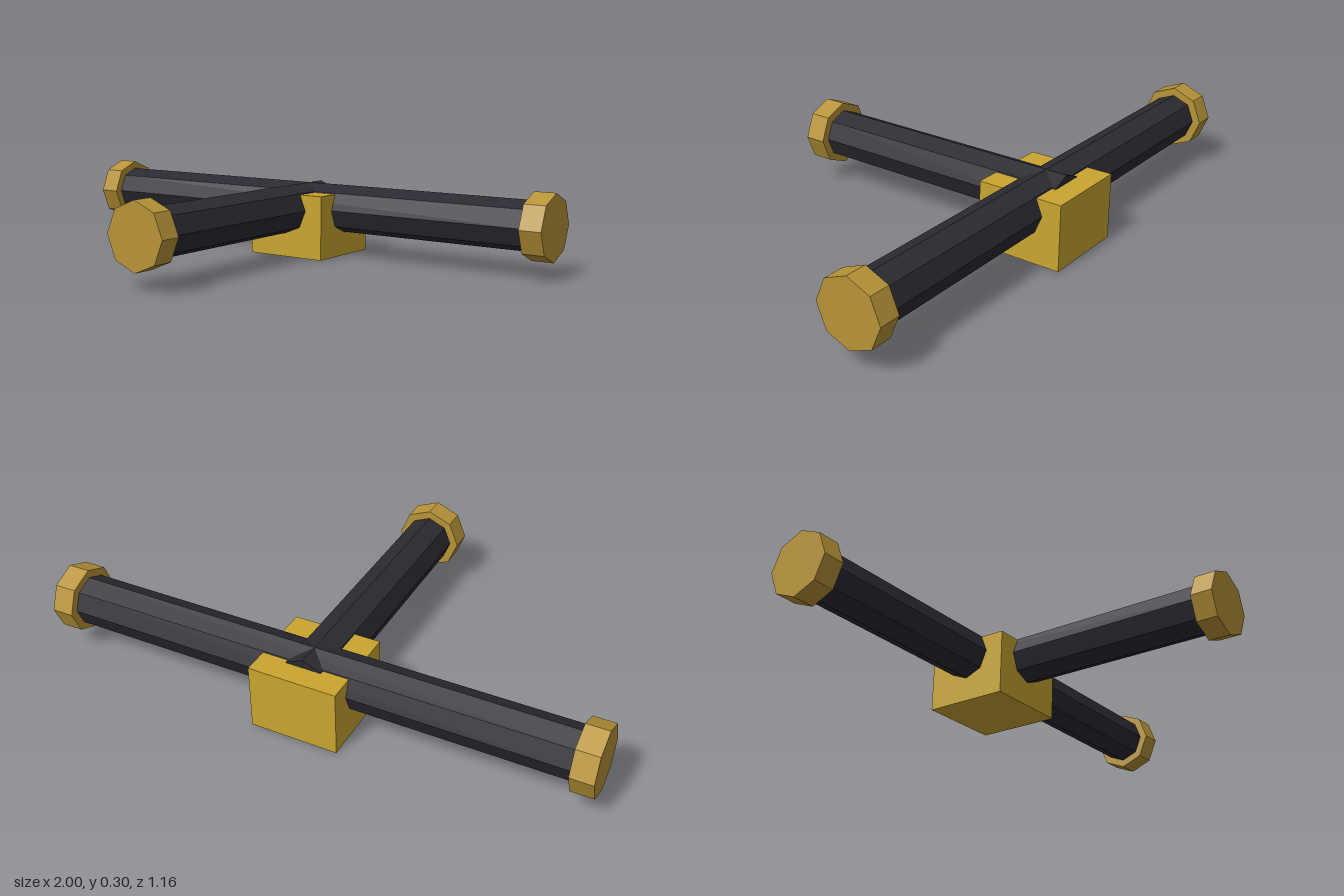
import * as THREE from 'three';

export function createModel() {
  const group = new THREE.Group();
  group.name = 'pipeTee';

  const flat = (name, color) => {
    const m = new THREE.MeshStandardMaterial({ color, flatShading: true });
    m.name = name;
    return m;
  };
  const darkMetal = flat('darkMetal', 0x2a2a32);
  const brass = flat('brass', 0xc9a530);
  const agedBrass = flat('agedBrass', 0xb89438);

  const axisY = 0.18; // height of the pipe centrelines
  const crossZ = -0.42; // where the pipes meet

  // Eight-sided rod between two points on one axis
  const rod = (name, radius, from, to, material) => {
    const a = new THREE.Vector3(...from), b = new THREE.Vector3(...to);
    const mesh = new THREE.Mesh(
      new THREE.CylinderGeometry(radius, radius, a.distanceTo(b), 8), material);
    if (a.x !== b.x) mesh.rotation.z = Math.PI / 2;
    else mesh.rotation.x = Math.PI / 2;
    mesh.position.copy(a).lerp(b, 0.5);
    mesh.name = name;
    group.add(mesh);
  };

  // Pipes
  rod('crossPipe', 0.09, [-0.95, axisY, crossZ], [0.95, axisY, crossZ], darkMetal);
  rod('frontPipe', 0.09, [0, axisY, -0.5], [0, axisY, 0.53], darkMetal);

  // End caps
  for (const [name, s] of [['leftCap', 1], ['rightCap', -1]]) {
    rod(name, 0.12, [s * 0.92, axisY, crossZ], [s, axisY, crossZ], agedBrass);
  }
  rod('frontCap', 0.12, [0, axisY, 0.5], [0, axisY, 0.58], agedBrass);

  // Junction block
  const block = new THREE.Mesh(new THREE.BoxGeometry(0.32, 0.24, 0.32), brass);
  block.position.set(0, 0.12, crossZ);
  block.name = 'junctionBlock';
  group.add(block);

  return group;
}
